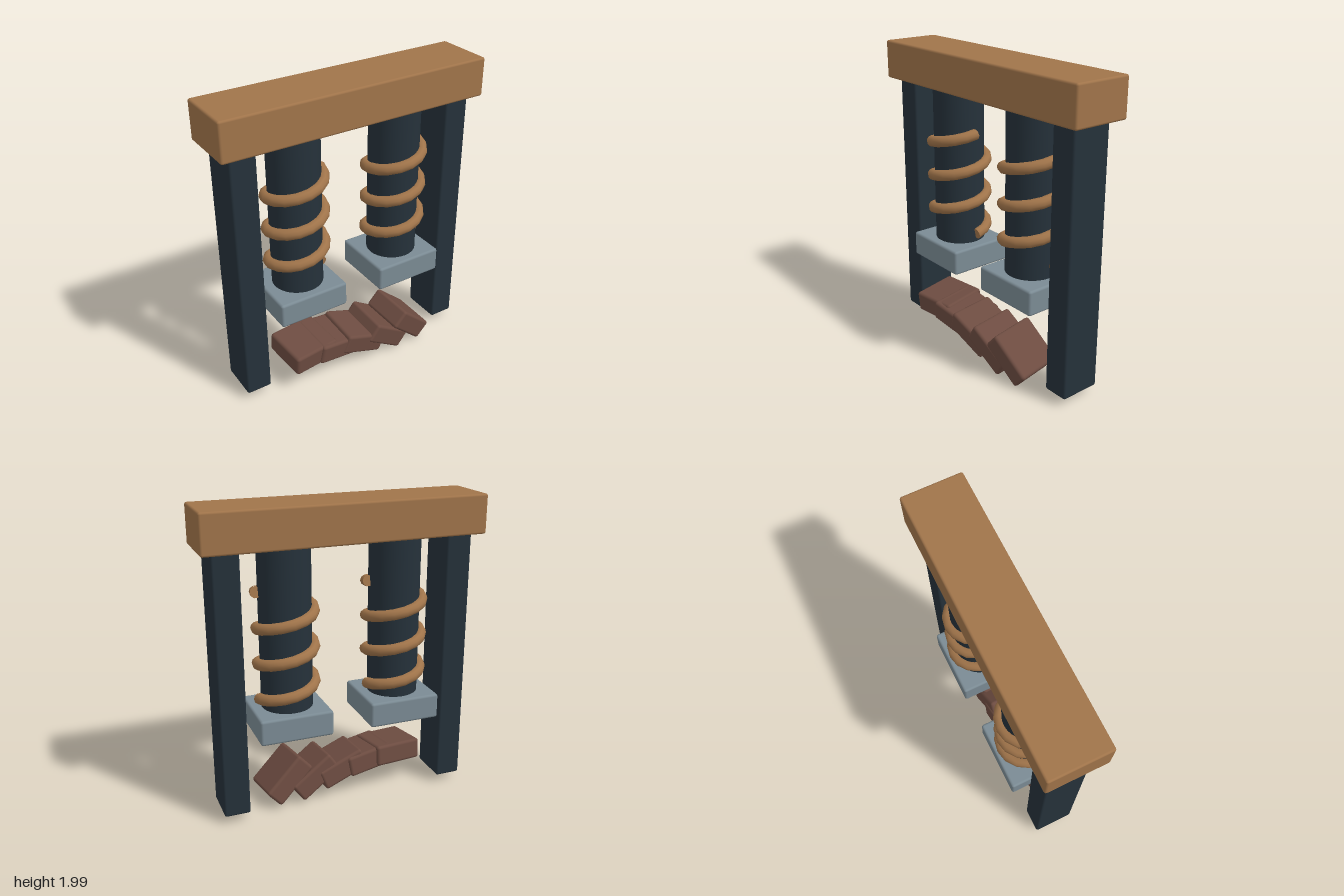
import * as THREE from 'three';
import { RoundedBoxGeometry } from 'three/addons/geometries/RoundedBoxGeometry.js';

const material = (name, color) => {
  const m = new THREE.MeshStandardMaterial({ color });
  m.name = name;
  return m;
};

// Rising coil, starting on the +x side and passing behind first
class Helix extends THREE.Curve {
  constructor(radius, height, turns) {
    super();
    Object.assign(this, { radius, height, turns });
  }
  getPoint(t, target = new THREE.Vector3()) {
    const a = t * this.turns * Math.PI * 2;
    return target.set(this.radius * Math.cos(a), t * this.height, -this.radius * Math.sin(a));
  }
}

export function createModel() {
  const group = new THREE.Group();
  group.name = 'gateWithPistons';
  const wood = material('wood', 0xa0744a);
  const iron = material('dark iron', 0x25313a);
  const steel = material('grey steel', 0x7b8b94);
  const clay = material('brown clay', 0x6d4c41);
  const Z = -0.025;

  const add = (parent, name, geometry, mat, x, y, z) => {
    const mesh = new THREE.Mesh(geometry, mat);
    mesh.name = name;
    mesh.position.set(x, y, z);
    parent.add(mesh);
    return mesh;
  };
  const box = (w, h, d, r) => new RoundedBoxGeometry(w, h, d, 2, r);

  // Top beam
  add(group, 'topBeam', box(1.8, 0.25, 0.39, 0.014), wood, 0, 1.875, Z);

  for (const side of [-1, 1]) {
    const label = side > 0 ? 'left' : 'right';

    // Outer post
    add(group, label + 'Post', box(0.168, 1.75, 0.27, 0.014), iron, side * 0.748, 0.935, Z);

    // Hanging piston: shaft, foot and coil
    const piston = new THREE.Group();
    piston.name = label + 'Piston';
    piston.position.set(side * 0.365, 0, Z);
    group.add(piston);
    add(piston, 'shaft', new THREE.CylinderGeometry(0.165, 0.165, 1.1, 32), iron, 0, 1.25, 0);
    add(piston, 'foot', box(0.472, 0.165, 0.44, 0.016), steel, 0, 0.637, 0);

    const helix = new Helix(0.18, 0.69, 3);
    add(piston, 'coil', new THREE.TubeGeometry(helix, 48, 0.036, 10), wood, 0, 0.78, 0);
    // Flat caps on the coil ends
    for (const t of [0, 1]) {
      const p = helix.getPoint(t);
      const out = helix.getTangent(t).multiplyScalar(t ? 1 : -1);
      const cap = add(piston, 'coilEnd', new THREE.CircleGeometry(0.036, 10), wood, p.x, p.y + 0.78, p.z);
      cap.quaternion.setFromUnitVectors(new THREE.Vector3(0, 0, 1), out);
    }
  }

  // Row of toppled blocks: x, y, yaw, roll
  const blocks = [
    [-0.385, 0.24, 0.11, 0],
    [-0.19, 0.22, 0.07, -0.16],
    [0, 0.187, 0.02, -0.37],
    [0.195, 0.162, 0.05, -0.6],
    [0.385, 0.175, 0.09, -0.75],
  ];
  const fallen = new THREE.Group();
  fallen.name = 'fallenBlocks';
  group.add(fallen);
  blocks.forEach(([x, y, yaw, roll], i) => {
    const block = add(fallen, 'block' + (i + 1), box(0.325, 0.14, 0.31, 0.02), clay, x, y, 0.063);
    block.rotation.set(0.1, yaw, roll);
  });

  return group;
}
